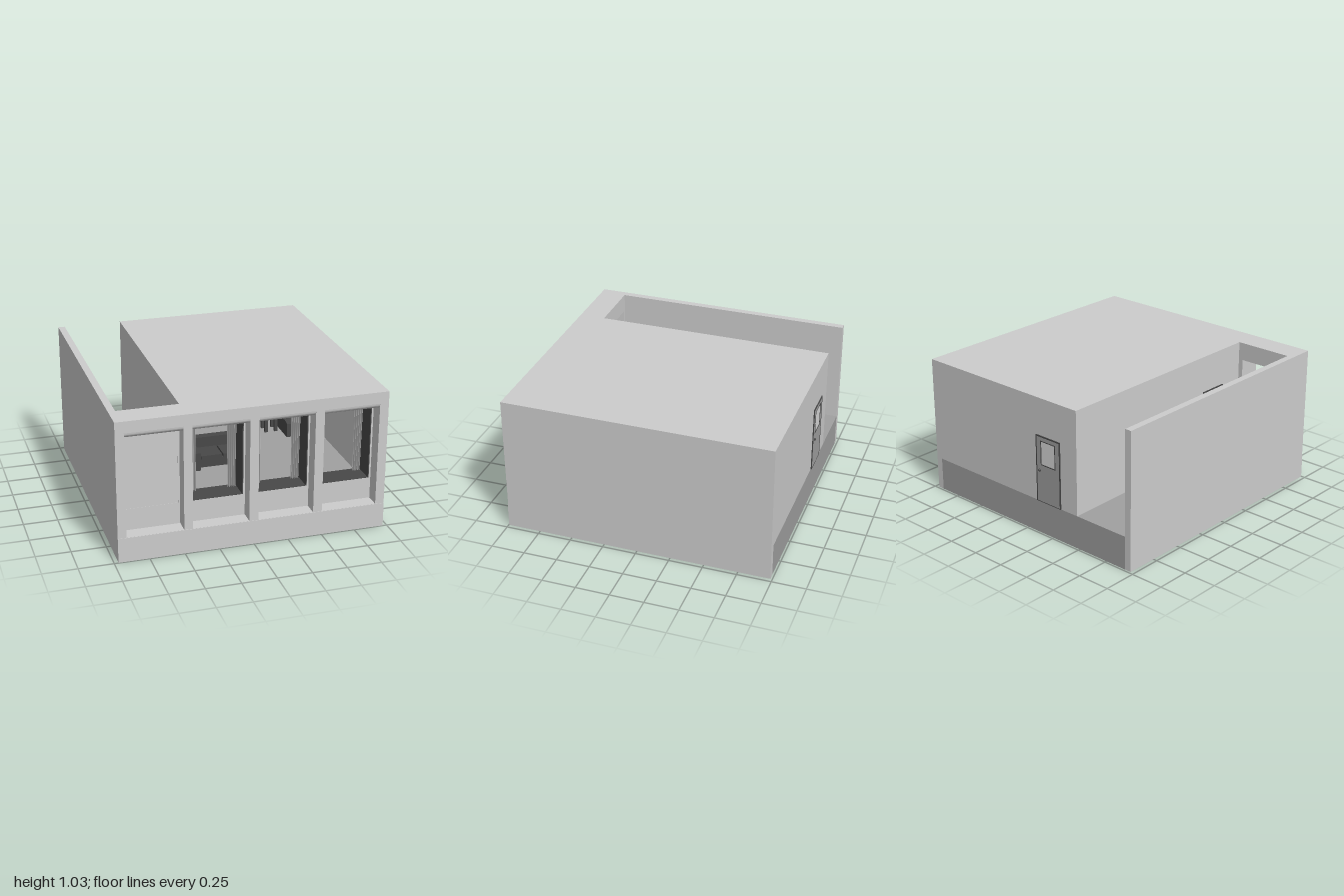
import * as THREE from 'three';
import { toCreasedNormals } from 'three/addons/utils/BufferGeometryUtils.js';

const mat = (name, color, side = THREE.FrontSide) => {
  const m = new THREE.MeshStandardMaterial({ color, side });
  m.name = name;
  return m;
};

export function createModel() {
  const root = new THREE.Group();
  root.name = 'building';
  const wall = mat('wall grey', 0xcccccc);
  const floor = mat('floor grey', 0xa0a0a0);
  const dark = mat('dark trim', 0x484848);
  const cloth = mat('curtain grey', 0xc4c4c4, THREE.DoubleSide);
  const glass = mat('pale glass', 0xd8d8d8);

  const add = (name, geo, m, parent = root) => {
    const mesh = new THREE.Mesh(geo, m);
    mesh.name = name;
    parent.add(mesh);
    return mesh;
  };
  // box given by its limits on each axis
  const box = (name, m, x0, x1, y0, y1, z0, z1, parent = root) => {
    const g = new THREE.BoxGeometry(x1 - x0, y1 - y0, z1 - z0);
    g.translate((x0 + x1) / 2, (y0 + y1) / 2, (z0 + z1) / 2);
    return add(name, g, m, parent);
  };
  const rect = (P, x0, x1, y0, y1) => new P([
    [x0, y0], [x1, y0], [x1, y1], [x0, y1],
  ].map(([x, y]) => new THREE.Vector2(x, y)));
  // upright slab with rectangular openings
  const pierced = (name, m, outer, holes, z0, z1, parent = root) => {
    const s = rect(THREE.Shape, ...outer);
    s.holes = holes.map((h) => rect(THREE.Path, ...h));
    const g = new THREE.ExtrudeGeometry(s, { depth: z1 - z0, bevelEnabled: false });
    g.translate(0, 0, z0);
    return add(name, g, m, parent);
  };

  const W = 0.97, H = 1.035, BACK = -0.985, FLOOR = 0.25;
  const bays = [-0.705, -0.2375, 0.2325, 0.7025];
  const BW = 0.2025; // half bay width
  const WW = 0.19;   // half window width

  // floor slab, reaching the underside and the back
  box('floorSlab', floor, -0.92, 0.92, 0, FLOOR, BACK, 0.8);

  // base and facade
  box('frontBase', wall, -W, W, 0, 0.18, 0.8, 0.997);
  pierced('facadePillars', wall, [-W, W, 0.18, H],
    bays.map((x) => [x - BW, x + BW, 0.181, 0.95]), 0.885, 0.993);
  pierced('windowWall', wall, [-W, W, 0.18, H],
    bays.map((x) => [x - WW, x + WW, 0.34, 0.9]), 0.8, 0.885);

  // rounded lintel over each bay
  const lintel = new THREE.Shape();
  lintel.moveTo(0.885, 0.91);
  lintel.lineTo(0.953, 0.91);
  lintel.absarc(0.953, 0.95, 0.04, -Math.PI / 2, 0, false);
  lintel.lineTo(0.885, 0.95);
  for (const x of bays) {
    let g = new THREE.ExtrudeGeometry(lintel, { depth: 2 * BW, bevelEnabled: false, curveSegments: 10 });
    g.rotateY(-Math.PI / 2);
    g.translate(x + BW, 0, 0);
    g = toCreasedNormals(g, 0.6);
    add('roundedLintel', g, wall);
  }

  // side walls, roof, and room walls
  box('rightOuterWall', wall, -W, -0.92, 0, H, BACK, 0.8);
  box('leftOuterWall', wall, 0.92, W, 0, H, BACK, 0.8);
  box('roof', wall, -0.48, 0.92, 0.97, H, BACK, 0.8);
  box('passageWall', wall, -0.48, -0.44, FLOOR, 0.97, BACK, 0.8);
  box('backWall', wall, -0.44, 0.92, FLOOR, 0.97, BACK, -0.94);

  // blank pane in the passage bay, seen from outside
  const pane = add('passagePane', new THREE.PlaneGeometry(2 * WW, 0.56), wall);
  pane.position.set(bays[0], 0.62, 0.883);

  // pleated curtain hanging from the window head
  const curtain = (x, flip) => {
    const g = new THREE.PlaneGeometry(0.07, 0.63, 32, 6);
    const p = g.attributes.position;
    for (let i = 0; i < p.count; i++) {
      const u = p.getX(i) / 0.07 + 0.5, v = 0.5 - p.getY(i) / 0.63;
      p.setZ(i, 0.014 * Math.sin(u * Math.PI * 9 + v * 0.8));
      p.setX(i, p.getX(i) + flip * 0.012 * v * (u - 0.5));
    }
    g.computeVertexNormals();
    add('curtain', g, cloth).position.set(x, 0.575, 0.74);
  };

  // dark window linings and curtains in the three room bays
  for (const x of bays.slice(1)) {
    pierced('windowLining', dark, [x - WW, x + WW, 0.335, 0.905],
      [[x - WW + 0.007, x + WW - 0.007, 0.342, 0.898]], 0.715, 0.884);
    curtain(x - 0.148, 1);
    curtain(x + 0.148, -1);
  }

  // door, outside face towards -z, with its sill at y = 0
  const door = (name, knobSide) => {
    const g = new THREE.Group();
    g.name = name;
    pierced('doorFrame', dark, [-0.115, 0.115, 0, 0.507],
      [[-0.107, 0.107, 0.004, 0.498]], -0.005, 0.053, g);
    pierced('doorLeaf', floor, [-0.107, 0.107, 0.004, 0.498],
      [[-0.066, 0.066, 0.29, 0.467]], -0.003, 0.051, g);
    pierced('doorWindowTrim', dark, [-0.07, 0.07, 0.286, 0.471],
      [[-0.064, 0.064, 0.292, 0.465]], -0.005, -0.002, g);
    box('doorGlass', glass, -0.066, 0.066, 0.29, 0.467, -0.002, 0.05, g);
    for (const z of [-0.008, 0.056]) {
      const knob = add('doorKnob', new THREE.SphereGeometry(0.01, 12, 8), dark, g);
      knob.position.set(knobSide * 0.08, 0.245, z);
    }
    root.add(g);
    return g;
  };
  door('backDoor', 1).position.set(-0.213, FLOOR, BACK - 0.002);
  const side = door('passageDoor', -1);
  side.position.set(-0.482, FLOOR, 0.485);
  side.rotation.y = Math.PI / 2;

  // sofa
  const sofa = new THREE.Group();
  sofa.name = 'sofa';
  root.add(sofa);
  box('sofaSeat', dark, -0.17, 0.17, 0.27, 0.335, 0.02, 0.24, sofa);
  box('sofaBack', dark, -0.19, 0.19, 0.26, 0.44, 0.02, 0.08, sofa);
  for (const s of [-1, 1]) {
    const c = s * 0.193;
    box('sofaArm', dark, c - 0.023, c + 0.023, FLOOR, 0.39, 0.02, 0.25, sofa);
    box('seatCushion', dark, s * 0.085 - 0.08, s * 0.085 + 0.08, 0.335, 0.36, 0.08, 0.24, sofa);
  }

  // side table
  const table = new THREE.Group();
  table.name = 'sideTable';
  root.add(table);
  box('tableTop', dark, 0.5, 0.62, 0.412, 0.422, -0.4, -0.28, table);
  for (const x of [0.505, 0.585]) for (const z of [-0.395, -0.31]) {
    box('tableLeg', dark, x, x + 0.025, FLOOR, 0.412, z, z + 0.025, table);
  }

  // low bed with a rumpled cover
  box('bedBase', dark, 0.64, 0.86, FLOOR, 0.33, -0.55, -0.15);
  const cover = new THREE.BoxGeometry(0.22, 0.03, 0.4, 10, 1, 14);
  const cp = cover.attributes.position;
  for (let i = 0; i < cp.count; i++) {
    if (cp.getY(i) < 0) continue;
    const x = cp.getX(i), z = cp.getZ(i);
    cp.setY(i, 0.015 + 0.012 * Math.sin(x * 38 + z * 17) * Math.cos(z * 23));
  }
  cover.computeVertexNormals();
  add('bedCover', cover, dark).position.set(0.75, 0.345, -0.35);

  return root;
}
